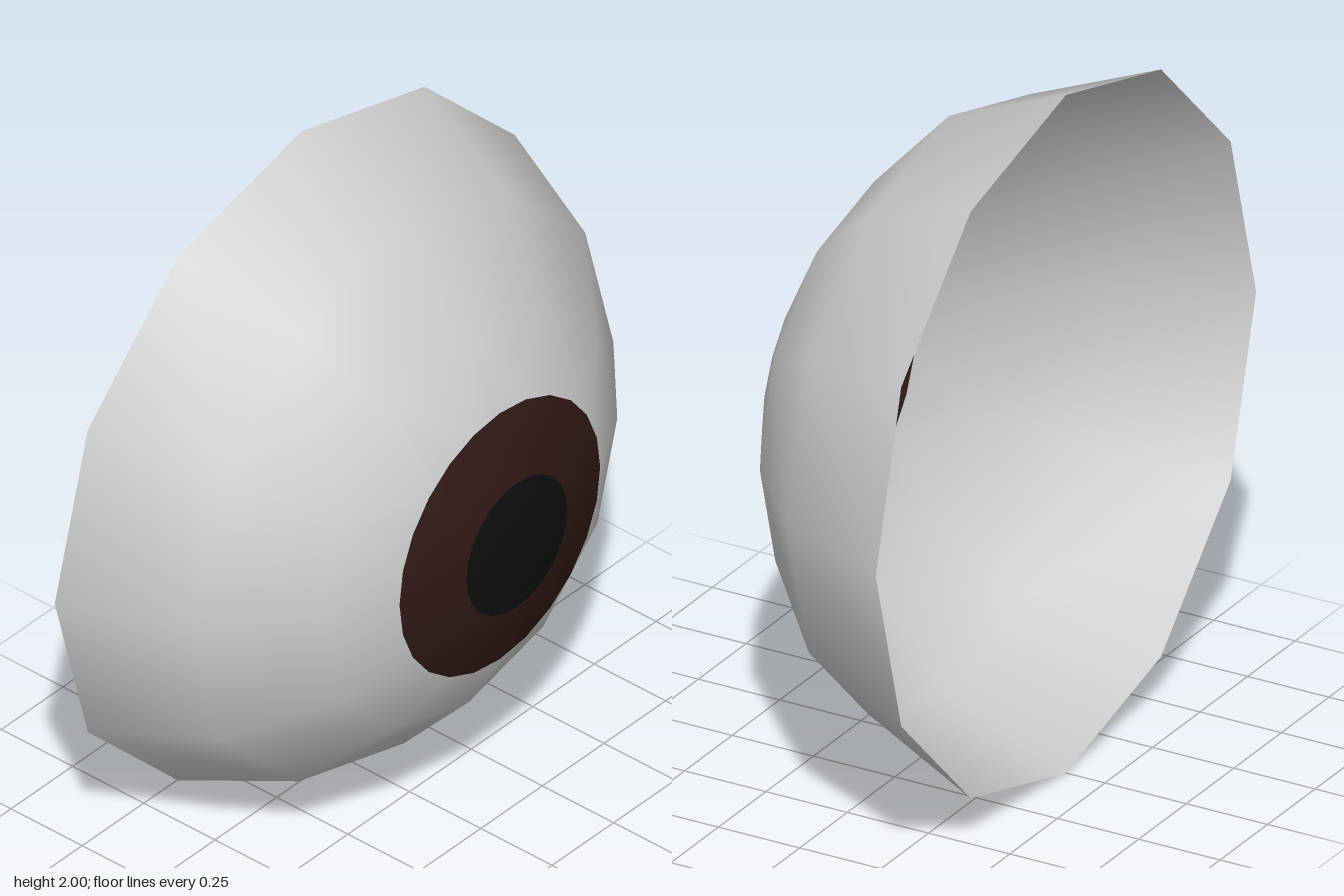
import * as THREE from 'three';

// Rings from the open back rim to the front: [sides, radius, z]
const RINGS = [
  [12, 1, -0.38],
  [12, 0.85, -0.02],
  [12, 0.6, 0.21],
  [24, 0.407, 0.317],
  [24, 0.205, 0.377],
];

export function createModel() {
  const positions = [];
  const starts = [];
  for (const [sides, radius, z] of RINGS) {
    starts.push(positions.length / 3);
    for (let i = 0; i < sides; i++) {
      const a = (i / sides) * Math.PI * 2;
      positions.push(radius * Math.cos(a), 1 + radius * Math.sin(a), z);
    }
  }
  const centre = positions.length / 3;
  positions.push(0, 1, 0.377);

  const at = (ring, i) => starts[ring] + (i % RINGS[ring][0]);

  // Triangles between a ring and the next; the inner ring may have twice the sides
  const band = (ring) => {
    const index = [];
    const n = RINGS[ring][0];
    const split = RINGS[ring + 1][0] / n;
    for (let i = 0; i < n; i++) {
      const a = at(ring, i), b = at(ring, i + 1);
      const c = at(ring + 1, i * split), d = at(ring + 1, (i + 1) * split);
      if (split === 2) {
        const mid = at(ring + 1, i * 2 + 1);
        index.push(a, b, mid, a, mid, c, b, d, mid);
      } else {
        index.push(a, b, d, a, d, c);
      }
    }
    return index;
  };

  const scleraIndex = [0, 1, 2].flatMap(band);
  const irisIndex = band(3);
  const pupilIndex = [];
  for (let i = 0; i < 24; i++) pupilIndex.push(at(4, i), at(4, i + 1), centre);

  // Smooth normals run across the whole shell, so the parts join without a seam
  const shell = new THREE.BufferGeometry();
  shell.setAttribute('position', new THREE.Float32BufferAttribute(positions, 3));
  shell.setIndex([...scleraIndex, ...irisIndex, ...pupilIndex]);
  shell.computeVertexNormals();

  const group = new THREE.Group();
  group.name = 'eye';
  const addPart = (name, index, color) => {
    const part = shell.clone();
    part.setIndex(index);
    const material = new THREE.MeshStandardMaterial({ color, side: THREE.DoubleSide });
    const mesh = new THREE.Mesh(part.toNonIndexed(), material);
    mesh.name = name;
    group.add(mesh);
  };

  addPart('eyeWhite', scleraIndex, 0xcccccc);
  addPart('iris', irisIndex, 0x301914);
  addPart('pupil', pupilIndex, 0x0e0e0e);
  return group;
}
